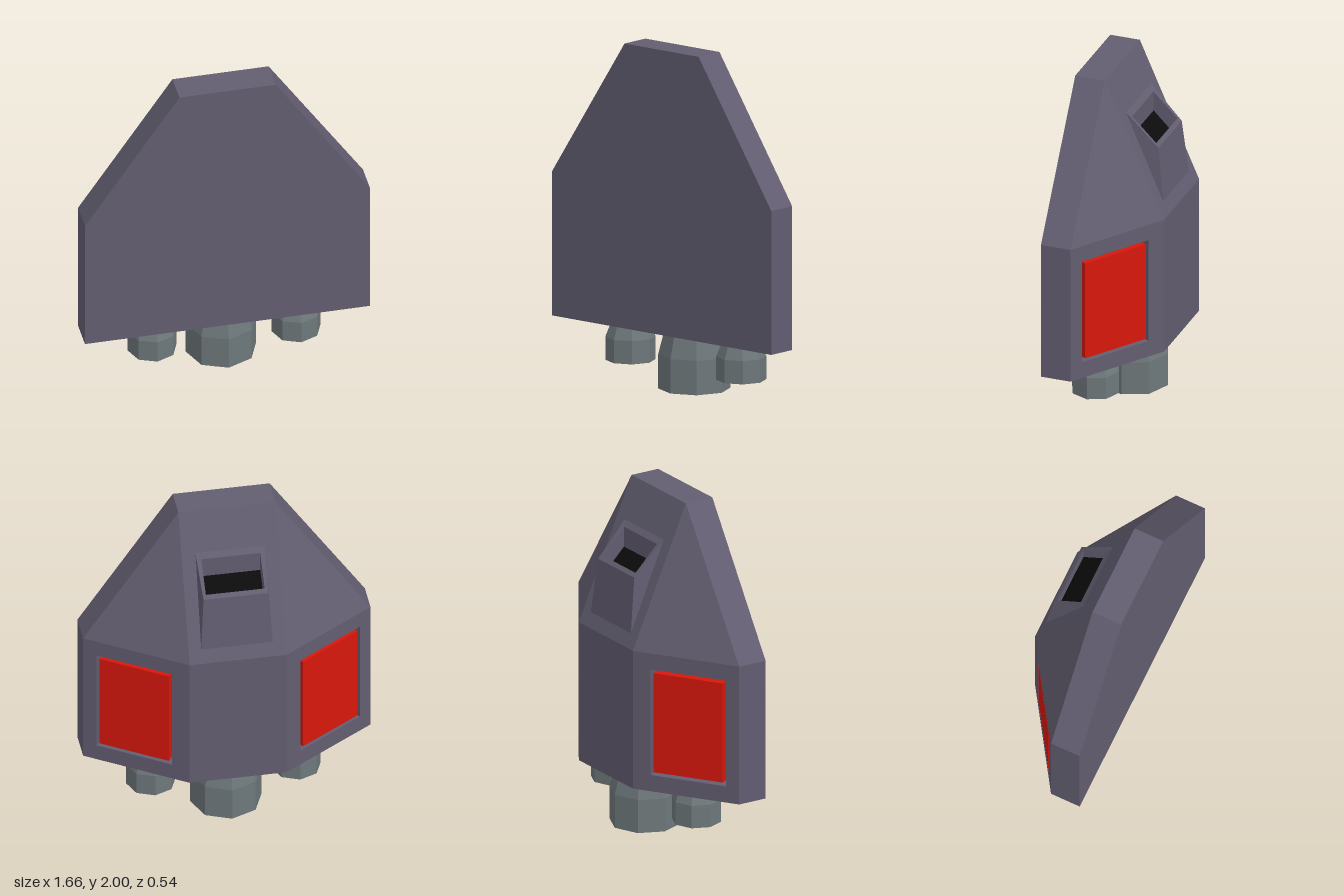
import * as THREE from 'three';

const material = (color) => new THREE.MeshStandardMaterial({ color, flatShading: true });

// Flat-faced geometry from a list of convex polygons (corners counter-clockwise from outside)
function polygons(list) {
  const pos = [];
  for (const p of list)
    for (let i = 1; i < p.length - 1; i++) pos.push(...p[0], ...p[i], ...p[i + 1]);
  const g = new THREE.BufferGeometry();
  g.setAttribute('position', new THREE.Float32BufferAttribute(pos, 3));
  g.computeVertexNormals();
  return g;
}

// Quads between successive corner rings
function loft(rings) {
  const list = [];
  for (let r = 0; r < rings.length - 1; r++) {
    const a = rings[r], b = rings[r + 1];
    a.forEach((p, i) => {
      const j = (i + 1) % a.length;
      list.push([p, a[j], b[j], b[i]]);
    });
  }
  return polygons(list);
}

// Shape outline with one rectangular opening
function shapeWithHole(outline, x0, y0, x1, y1) {
  const s = new THREE.Shape(outline.map(([x, y]) => new THREE.Vector2(x, y)));
  s.holes.push(new THREE.Path([[x0, y0], [x0, y1], [x1, y1], [x1, y0]].map(([x, y]) => new THREE.Vector2(x, y))));
  return s;
}

export function createModel() {
  const model = new THREE.Group();
  const hullMat = material(0x625d70), redMat = material(0xd8170c);
  const metalMat = material(0x6d777a), blackMat = material(0x0c0c0c);
  const add = (parent, name, geometry, mat) => {
    const m = new THREE.Mesh(geometry, mat);
    m.name = name;
    parent.add(m);
    return m;
  };

  // Main hull: wide below, narrowing to a flat top
  const W = 0.83, N = 0.28, B = 0.345, M = 1.18, T = 2, F = 0.27, S = 0.09, R = -0.27;
  const faces = [
    [[-W, B, F], [W, B, F], [W, M, F], [N, T, F], [-N, T, F], [-W, M, F]],
    [[W, B, F], [-W, B, F], [-W, B, S], [-N, B, R], [N, B, R], [W, B, S]],
    [[N, B, R], [-N, B, R], [-N, M, R], [N, M, R]],
    [[-N, T, F], [N, T, F], [N, T, S], [-N, T, S]],
  ];
  const sideFaces = [
    [[W, B, F], [W, B, S], [W, M, S], [W, M, F]],
    [[W, M, F], [W, M, S], [N, T, S], [N, T, F]],
    [[W, M, S], [N, M, R], [N, T, S]],
  ];
  for (const f of sideFaces) faces.push(f, f.map(([x, y, z]) => [-x, y, z]).reverse());
  add(model, 'hull', polygons(faces), hullMat);

  // Sloped back panel, open beneath the scoop
  const slope = Math.hypot(T - M, S - R), vz = (S - R) / slope;
  const v = new THREE.Vector3(0, (T - M) / slope, vz), u = new THREE.Vector3(-1, 0, 0);
  const zi0 = -0.035, zi1 = -0.18, xi = 0.17;
  const slopeShape = shapeWithHole([[-N, 0], [N, 0], [N, slope], [-N, slope]],
    -xi, (zi1 - R) / vz, xi, (zi0 - R) / vz);
  const slopeGeo = new THREE.ShapeGeometry(slopeShape);
  slopeGeo.applyMatrix4(new THREE.Matrix4().makeBasis(u, v, u.clone().cross(v)).setPosition(0, M, R));
  add(model, 'slopedBackPanel', slopeGeo, hullMat);

  // Scoop: outer walls, rim, inner walls and dark floor
  const ring = (xf, yf, zf, xb, yb, zb) => [[xf, yf, zf], [xb, yb, zb], [-xb, yb, zb], [-xf, yf, zf]];
  const depth = 0.12;
  const floor = ring(xi, 1.745 - depth, zi0, xi, 1.6 - depth, zi1);
  add(model, 'scoop', loft([
    ring(0.2, 1.77, 0, 0.208, 1.24, -0.238),
    ring(0.2, 1.785, 0, 0.187, 1.58, -0.2),
    ring(xi, 1.745, zi0, xi, 1.6, zi1),
    floor,
  ]), hullMat);
  add(model, 'scoopFloor', polygons([floor]), blackMat);

  // Angled side walls, each with a recess holding a red panel
  const len = Math.hypot(W - N, S - R), recess = 0.09, gap = 0.02;
  for (const side of [1, -1]) {
    const wall = new THREE.Group();
    wall.name = side > 0 ? 'leftAngledWall' : 'rightAngledWall';
    const dir = new THREE.Vector3(N - W, 0, side * (R - S)).normalize();
    const up = new THREE.Vector3(0, 1, 0);
    wall.applyMatrix4(new THREE.Matrix4().makeBasis(dir, up, dir.clone().cross(up))
      .setPosition(side > 0 ? W : -N, 0, side > 0 ? S : R));
    const near = 0.125 * len, far = 0.835 * len;
    const [a, b] = side > 0 ? [near, far] : [len - far, len - near];
    const y0 = 0.443, y1 = 1.083, w = b - a, h = y1 - y0;
    const frame = new THREE.ExtrudeGeometry(
      shapeWithHole([[0, B], [len, B], [len, M], [0, M]], a, y0, b, y1),
      { depth: recess, bevelEnabled: false });
    add(wall, 'wallFrame', frame.translate(0, 0, -recess), hullMat);
    const cx = (a + b) / 2, cy = (y0 + y1) / 2;
    add(wall, 'recessFloor', new THREE.PlaneGeometry(w, h), hullMat).position.set(cx, cy, -recess);
    add(wall, 'redPanel', new THREE.BoxGeometry(w - 2 * gap, h - 2 * gap, recess), redMat)
      .position.set(cx, cy, -recess / 2);
    model.add(wall);
  }

  // Eight-sided thruster nozzles with hollow ends
  const nozzle = (name, x, z, bottom, bend, r, rTop) => {
    const points = [[0, bottom + 0.06], [r * 0.72, bottom + 0.06], [r * 0.72, bottom], [r, bottom], [r, bend], [rTop, B + 0.005]];
    const g = new THREE.LatheGeometry(points.map(([px, py]) => new THREE.Vector2(px, py)), 8);
    add(model, name, g, metalMat).position.set(x, 0, z);
  };
  nozzle('mainThruster', 0.02, 0.01, 0, 0.2, 0.206, 0.168);
  nozzle('leftThruster', 0.44, 0.085, 0.12, 0.255, 0.143, 0.105);
  nozzle('rightThruster', -0.398, 0.085, 0.12, 0.255, 0.143, 0.105);

  return model;
}
